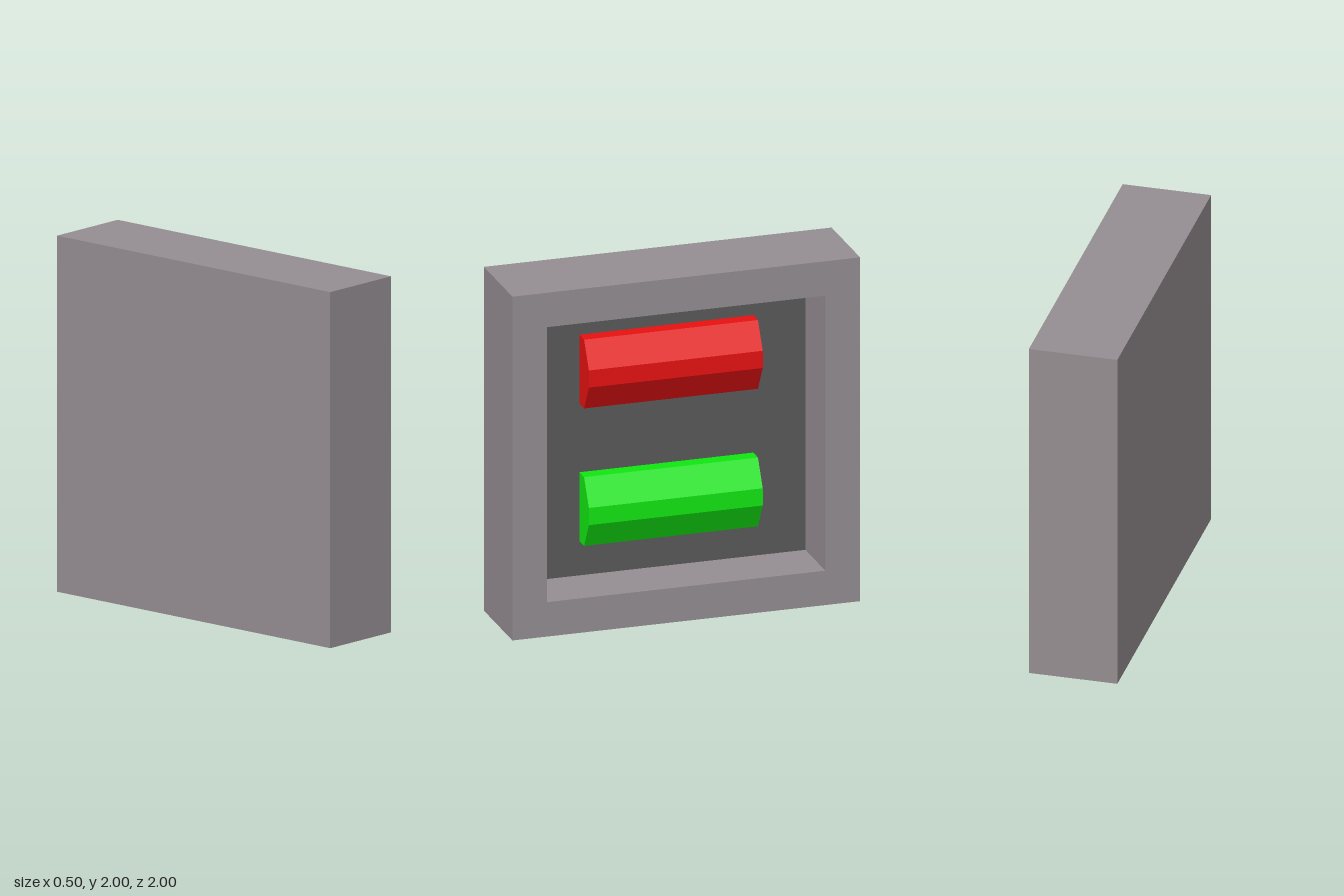
import * as THREE from 'three';

const mat = (name, color) => {
  const m = new THREE.MeshStandardMaterial({ color });
  m.name = name;
  return m;
};

const HALF = 0.25;      // half thickness of the housing
const PANEL_X = -0.1;   // depth of the recessed panel

// Extrudes a shape along +z, then turns it so the extrusion runs along +x.
function extrudeAlongX(shape, depth) {
  return new THREE.ExtrudeGeometry(shape, { depth, bevelEnabled: false }).rotateY(Math.PI / 2);
}

function square(path, r) {
  return path.moveTo(-r, 1 - r).lineTo(r, 1 - r).lineTo(r, 1 + r).lineTo(-r, 1 + r).closePath();
}

export function createModel() {
  const group = new THREE.Group();
  const grey = mat('housing grey', 0x948d91);
  const dark = mat('panel dark grey', 0x595959);
  const red = mat('lamp red', 0xe81111);
  const green = mat('lamp green', 0x11e811);

  const add = (name, geometry, material) => {
    const mesh = new THREE.Mesh(geometry, material);
    mesh.name = name;
    group.add(mesh);
    return mesh;
  };

  // Square housing: one wall all round, open towards +x
  const outline = square(new THREE.Shape(), 1);
  outline.holes.push(square(new THREE.Path(), 0.8));
  add('housingFrame', extrudeAlongX(outline, HALF * 2), grey).position.x = -HALF;

  // Solid back filling the frame opening
  const backDepth = HALF + PANEL_X - 0.005;
  add('housingBack', new THREE.BoxGeometry(backDepth, 1.6, 1.6), grey)
    .position.set(-HALF + backDepth / 2, 1, 0);

  // Thin dark panel at the bottom of the recess
  add('recessPanel', new THREE.BoxGeometry(0.005, 1.6, 1.6), dark)
    .position.set(PANEL_X - 0.0025, 1, 0);

  // Lamp bars: chamfered profile in x and y, run along z
  const profile = new THREE.Shape([
    [0, -0.2], [0.083, -0.2], [0.167, -0.05], [0.167, 0.05], [0.083, 0.2], [0, 0.2],
  ].map(([x, y]) => new THREE.Vector2(x, y)));
  const bar = new THREE.ExtrudeGeometry(profile, { depth: 1, bevelEnabled: false });
  bar.translate(PANEL_X, 0, -0.5);
  add('upperLamp', bar, red).position.y = 1.4;
  add('lowerLamp', bar, green).position.y = 0.6;

  return group;
}
